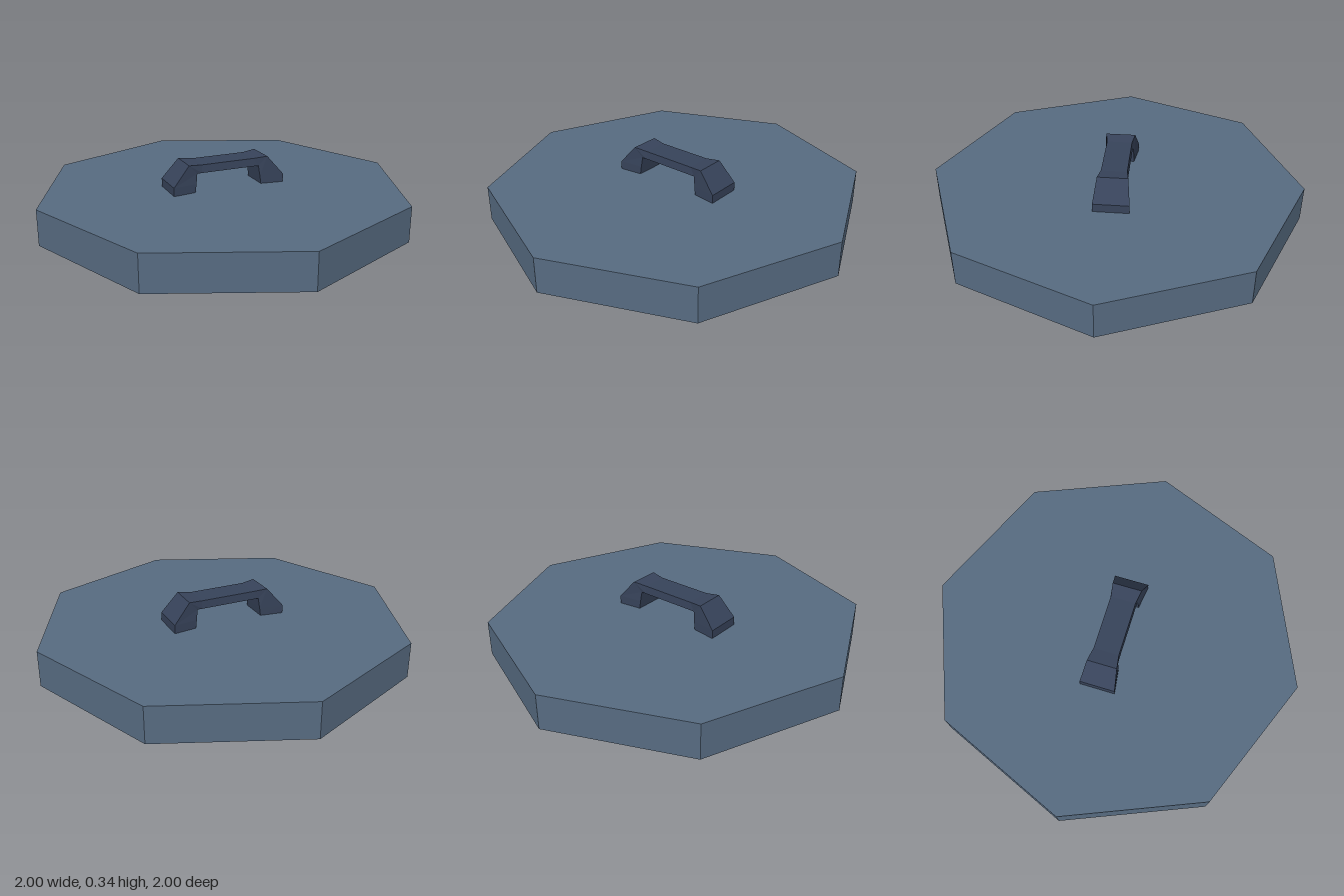
import * as THREE from 'three';

const lidMaterial = new THREE.MeshStandardMaterial({ color: 0x576b81 });
const handleMaterial = new THREE.MeshStandardMaterial({ color: 0x37435a });

// Give every face its own normal for a crisp low-poly look
function faceted(geometry) {
  const flat = geometry.index ? geometry.toNonIndexed() : geometry;
  flat.computeVertexNormals();
  return flat;
}

// Skin four-cornered cross-sections into a bar with open ends
function loft(sections) {
  const positions = [];
  for (let k = 0; k < sections.length - 1; k++) {
    for (let j = 0; j < 4; j++) {
      const n = (j + 1) % 4;
      const a = sections[k][j], b = sections[k][n];
      const c = sections[k + 1][n], d = sections[k + 1][j];
      positions.push(...a, ...b, ...c, ...a, ...c, ...d);
    }
  }
  const geometry = new THREE.BufferGeometry();
  geometry.setAttribute('position', new THREE.Float32BufferAttribute(positions, 3));
  return faceted(geometry);
}

export function createModel() {
  const model = new THREE.Group();
  model.name = 'lid';

  // Eight-sided lid with a shallow recess underneath
  const profile = [[0, 0.115], [0.87, 0.115], [0.89, 0], [1, 0], [1, 0.19], [0, 0.19]]
    .map(([r, y]) => new THREE.Vector2(r, y));
  const cover = new THREE.Mesh(faceted(new THREE.LatheGeometry(profile, 8)), lidMaterial);
  cover.name = 'cover';
  model.add(cover);

  // Handle: outer x, y, half width, then inner x, y, half width
  const half = [
    [0.315, 0.19, 0.095, 0.19, 0.19, 0.078],
    [0.315, 0.235, 0.095, 0.184, 0.235, 0.077],
    [0.225, 0.34, 0.08, 0.177, 0.29, 0.072],
    [0.15, 0.333, 0.068, 0.15, 0.29, 0.072],
  ];
  const mirrored = half.map(([xo, yo, wo, xi, yi, wi]) => [-xo, yo, wo, -xi, yi, wi]).reverse();
  const sections = [...half, ...mirrored].map(([xo, yo, wo, xi, yi, wi]) => [
    [xo, yo, wo], [xo, yo, -wo], [xi, yi, -wi], [xi, yi, wi],
  ]);
  const handle = new THREE.Mesh(loft(sections), handleMaterial);
  handle.name = 'handle';
  handle.position.z = -0.004;
  model.add(handle);

  return model;
}
